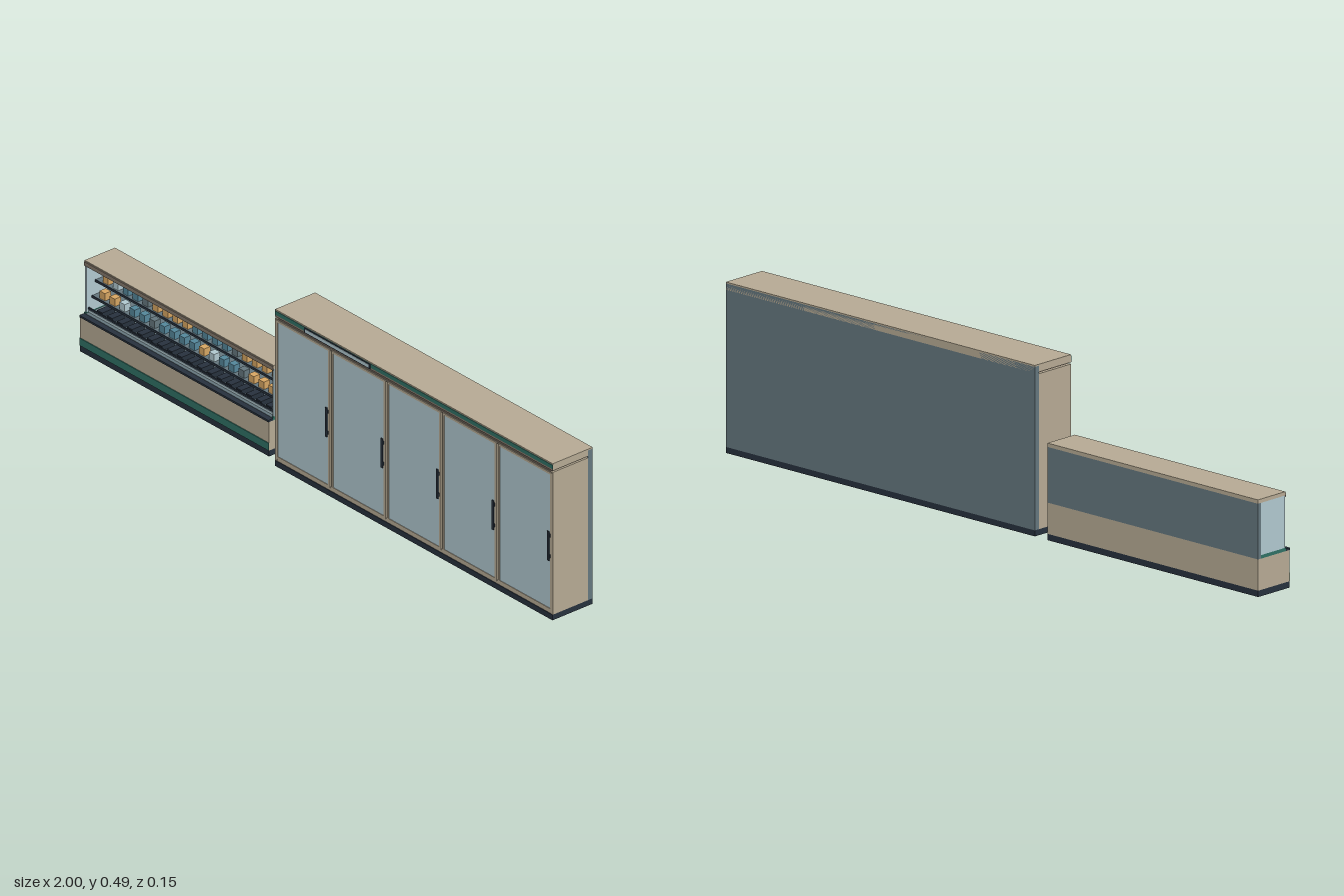
import * as THREE from 'three';

const mat = (name, color) => {
  const m = new THREE.MeshStandardMaterial({ color });
  m.name = name;
  return m;
};

export function createModel() {
  const beige = mat('beige', 0xb5a993);
  const slate = mat('slate', 0x64767d);
  const dark = mat('darkBase', 0x27313d);
  const green = mat('greenTrim', 0x2f7064);
  const glass = mat('paleGlass', 0xb0c7ce);
  const orange = mat('orangeGoods', 0xd6a562);
  const brown = mat('brownFrame', 0x83776a);
  const blue = mat('blueGoods', 0x54869a);

  // Box given by its min and max along each axis
  const box = (parent, name, m, x0, x1, y0, y1, z0, z1) => {
    const mesh = new THREE.Mesh(new THREE.BoxGeometry(x1 - x0, y1 - y0, z1 - z0), m);
    mesh.position.set((x0 + x1) / 2, (y0 + y1) / 2, (z0 + z1) / 2);
    mesh.name = name;
    parent.add(mesh);
    return mesh;
  };
  const group = (parent, name) => {
    const g = new THREE.Group();
    g.name = name;
    parent.add(g);
    return g;
  };

  const root = new THREE.Group();
  root.name = 'storeRefrigerators';

  // ---- Tall cabinet with five glass doors ----
  const tall = group(root, 'tallCabinet');
  const L = -0.16, R = 1;
  box(tall, 'plinth', dark, L, R, 0, 0.017, -0.073, 0.072);
  box(tall, 'backPanel', slate, L, R, 0.017, 0.483, -0.073, -0.056);
  box(tall, 'leftSide', beige, R - 0.008, R, 0.017, 0.46, -0.056, 0.071);
  box(tall, 'rightSide', beige, L, L + 0.008, 0.017, 0.46, -0.056, 0.071);
  box(tall, 'floor', beige, L + 0.008, R - 0.008, 0.017, 0.029, -0.056, 0.07);
  box(tall, 'ceiling', brown, L + 0.008, R - 0.008, 0.452, 0.46, -0.056, 0.069);
  box(tall, 'canopy', beige, L, R, 0.465, 0.487, -0.073, 0.071);
  box(tall, 'canopyLowerTrim', brown, L, R, 0.465, 0.471, 0.071, 0.072);
  box(tall, 'canopyStripe', green, L, R, 0.471, 0.483, 0.071, 0.0725);
  box(tall, 'signBorder', dark, -0.035, 0.24, 0.467, 0.483, 0.0725, 0.0745);
  box(tall, 'signPanel', glass, -0.03, 0.235, 0.47, 0.48, 0.0745, 0.0755);

  const count = 5, pitch = (R - L) / count;
  for (let i = 0; i < count; i++) {
    const a = L + i * pitch + 0.003, b = a + pitch - 0.006;
    const door = group(tall, 'door' + (i + 1));
    // Frame bars around the pane
    box(door, 'stileRight', beige, a, a + 0.007, 0.025, 0.456, 0.06, 0.0715);
    box(door, 'stileLeft', beige, b - 0.007, b, 0.025, 0.456, 0.06, 0.0715);
    box(door, 'railBottom', beige, a + 0.007, b - 0.007, 0.025, 0.032, 0.06, 0.0715);
    box(door, 'railTop', beige, a + 0.007, b - 0.007, 0.449, 0.456, 0.06, 0.0715);
    box(door, 'pane', glass, a + 0.007, b - 0.007, 0.032, 0.449, 0.063, 0.07);
    // Handle with two mounts
    const hx = b - 0.012;
    box(door, 'handleGrip', dark, hx - 0.004, hx + 0.004, 0.181, 0.272, 0.0725, 0.0755);
    for (const y of [0.19, 0.255]) box(door, 'handleMount', dark, hx - 0.006, hx + 0.006, y, y + 0.01, 0.07, 0.074);
    // Dark seal between neighbouring doors
    if (i < count - 1) box(tall, 'doorSeal', dark, b, b + 0.006, 0.029, 0.452, 0.05, 0.066);
  }

  // ---- Low open display case ----
  const low = group(root, 'displayCase');
  const l = -1, r = -0.21;
  box(low, 'plinth', dark, l, r, 0, 0.018, -0.075, 0.05);
  box(low, 'lowerBody', beige, l, r, 0.018, 0.107, -0.075, 0.05);
  box(low, 'frontStripe', green, l, r, 0.019, 0.042, 0.05, 0.0525);
  box(low, 'frontBumper', dark, l, r, 0.107, 0.113, 0.035, 0.0525);
  box(low, 'deck', slate, l + 0.006, r - 0.006, 0.107, 0.114, -0.066, 0.035);
  box(low, 'backPanel', slate, l, r, 0.107, 0.266, -0.075, -0.064);
  box(low, 'canopy', beige, l, r, 0.266, 0.277, -0.076, 0.033);
  box(low, 'canopyLip', brown, l, r, 0.262, 0.274, 0.033, 0.036);
  for (const x of [l, r - 0.006]) {
    box(low, 'endGlass', glass, x, x + 0.006, 0.117, 0.266, -0.064, 0.032);
    box(low, 'endTrim', green, x, x + 0.006, 0.107, 0.117, -0.064, 0.035);
  }

  // Shelves with goods, each tier set further forward than the one above
  const goods = [orange, orange, orange, blue, glass, orange, orange, slate, blue];
  const n = 18, step = 0.0415;
  [{ y: 0.207, z: -0.002 }, { y: 0.162, z: 0.01 }].forEach(({ y, z }, t) => {
    const tier = group(low, t ? 'lowerShelf' : 'upperShelf');
    box(tier, 'shelfBoard', slate, l + 0.006, r - 0.006, y - 0.004, y, -0.064, z);
    box(tier, 'shelfRail', dark, l + 0.006, r - 0.006, y - 0.006, y + 0.001, z, z + 0.003);
    for (let i = 0; i < n; i++) {
      const x = l + 0.042 + i * step;
      const mid = t ? i > 5 && i < 10 : i > 8 && i < 12;
      const m = mid ? blue : goods[(i * 4 + t * 5) % goods.length];
      box(tier, 'carton', m, x - 0.011, x + 0.011, y, y + 0.023, z - 0.026, z - 0.004);
    }
  });

  // Bottom tray with low dividers and pale labels
  const tray = group(low, 'bottomTray');
  box(tray, 'trayRail', dark, l + 0.006, r - 0.006, 0.124, 0.13, 0.022, 0.026);
  box(tray, 'trayLabelStrip', glass, l + 0.006, r - 0.006, 0.115, 0.122, 0.022, 0.025);
  for (let i = 0; i < n; i++) {
    const x = l + 0.042 + i * step;
    box(tray, 'divider', dark, x - 0.011, x + 0.011, 0.114, 0.128, -0.03, 0.015);
  }
  return root;
}
